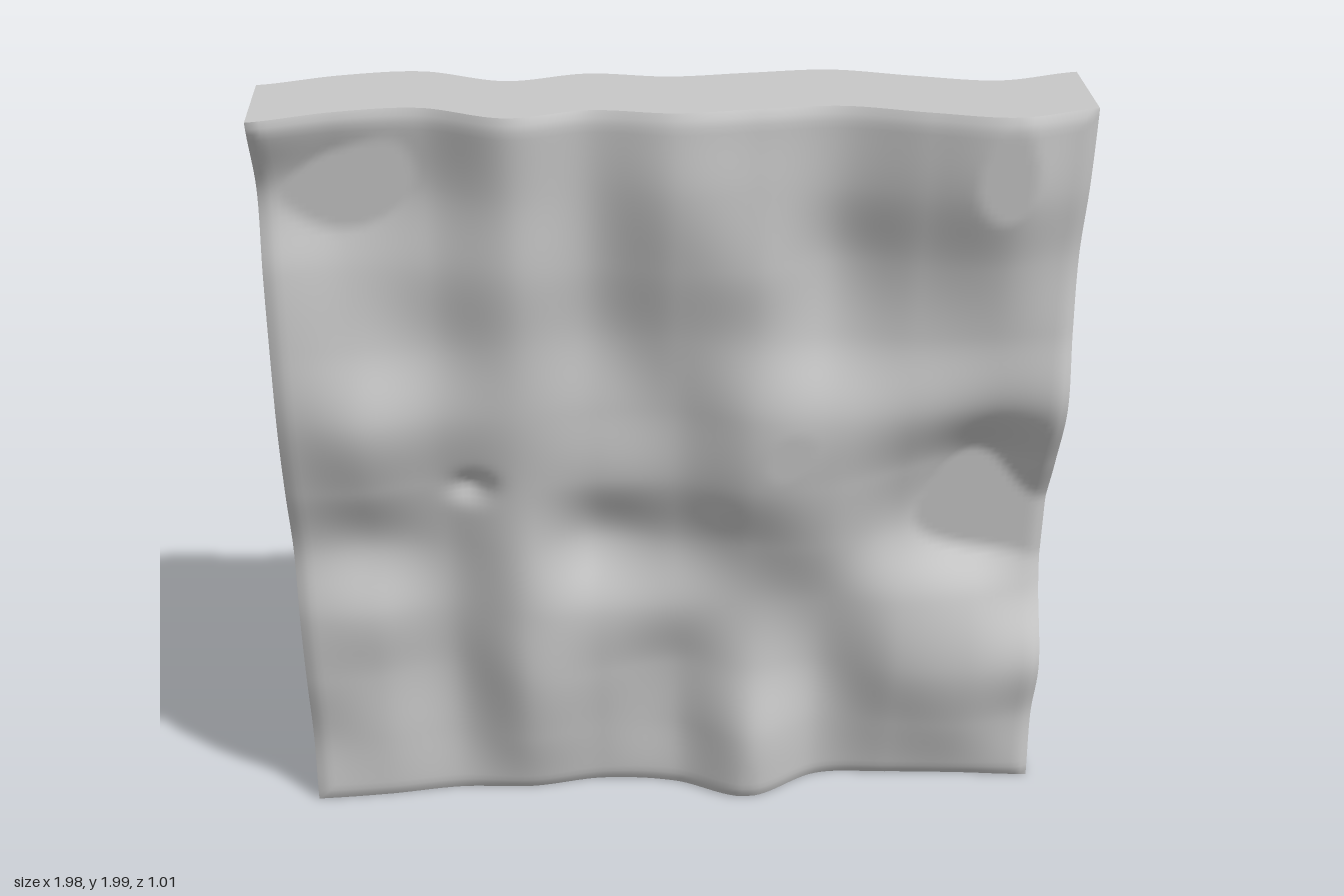
import * as THREE from 'three';

const WIDTH = 1.98, HEIGHT = 1.99, THICK = 0.265;
const LOWEST = -0.057, HIGHEST = 0.098;

// Swell of the slab in hundredths: rows from top to bottom, columns from -x end to +x end
const SWELL = [
  [2.5, -3, -4.5, 3.3, -0.7, 2.5, 1, 0, 5.5, 9.8, 5],
  [-5, -8, -5, 3, -0.5, 5, 3.5, 0.5, 6, 11, 4],
  [0, -2.5, -0.5, 4.5, -1, 4, 5, -2, 3.5, 6.5, 1],
  [3, 2, 0, 3, -2.5, 1.5, 4, 1, 4, 4, 3],
  [5, 8, 3, 3, 0, 1, 8.5, 9, 7, 4, 6.5],
  [3.5, 3.5, -0.5, 2, 1, 2, 9, 8, 0, -7, 0],
  [0, -3.5, -3, 2.5, -5, -1.5, 3.5, 4.5, -4, -9, -7],
  [2.5, 2, -2, 4.5, 3, 2, 1, 0.5, 3, 2, -3.5],
  [2.5, 1, -2.5, 6.5, 2.5, -1.5, 3, -0.5, 6.5, 8, 6],
  [1, 2, -1, 5, 0.5, -1, 9, 1, 4, 6, 3],
  [4, 3, 1, 2, -0.5, 2, 10, 1, 1.5, 3, 5],
];

// Smooth curve through evenly spaced values, t from 0 to 1
function spline(values, t) {
  const last = values.length - 1;
  const f = THREE.MathUtils.clamp(t, 0, 1) * last;
  const i = Math.min(Math.floor(f), last - 1), s = f - i;
  const a = values[Math.max(i - 1, 0)], b = values[i];
  const c = values[i + 1], d = values[Math.min(i + 2, last)];
  return b + 0.5 * s * (c - a + s * (2 * a - 5 * b + 4 * c - d + s * (3 * (b - c) + d - a)));
}

// Wavy offset, cut flat at its highest and lowest levels
function swell(u, y) {
  const column = SWELL.map((row) => spline(row, u / WIDTH + 0.5));
  return THREE.MathUtils.clamp(spline(column, 1 - y / HEIGHT) / 100, LOWEST, HIGHEST);
}

// Softened rim of the two broad faces
function rim(u, y) {
  const edge = Math.min(WIDTH / 2 - Math.abs(u), y, HEIGHT - y);
  const s = Math.max(0, 1 - edge / 0.04);
  return 0.012 * s * s;
}

// Small pit in the front face
function pit(u, y) {
  const r2 = ((u + 0.52) / 0.05) ** 2 + ((y - 0.98) / 0.04) ** 2;
  return 0.03 * Math.exp(-r2);
}

export function createModel() {
  const group = new THREE.Group();
  const stone = new THREE.MeshStandardMaterial({ color: 0xc8c8c8 });
  stone.name = 'stone grey';

  // Slab bent by the swell, both broad faces moving together
  const geometry = new THREE.BoxGeometry(WIDTH, HEIGHT, THICK, 120, 120, 2);
  geometry.translate(0, HEIGHT / 2, 0);
  const p = geometry.attributes.position;
  for (let i = 0; i < p.count; i++) {
    const u = p.getX(i), y = p.getY(i), z = p.getZ(i);
    let n = z + swell(u, y);
    if (Math.abs(z) > 0.01) n -= Math.sign(z) * rim(u, y);
    if (z > 0.01) n -= pit(u, y);
    p.setZ(i, n);
  }
  geometry.computeVertexNormals();

  const slab = new THREE.Mesh(geometry, stone);
  slab.name = 'wavySlab';
  slab.rotation.y = THREE.MathUtils.degToRad(20);
  group.add(slab);
  return group;
}
